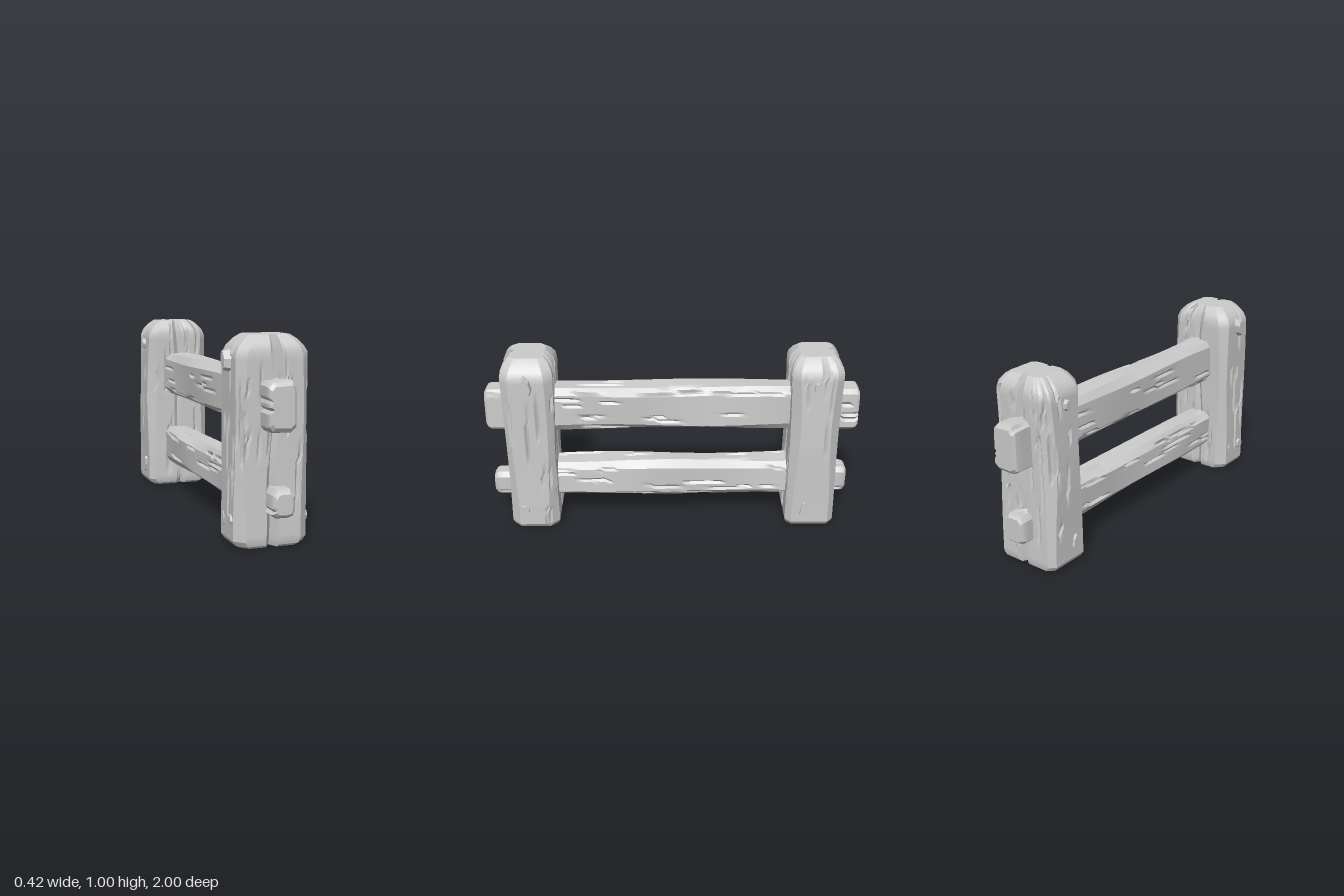
import * as THREE from 'three';
import { toCreasedNormals } from 'three/addons/utils/BufferGeometryUtils.js';

const wood = new THREE.MeshStandardMaterial({ color: 0xcccccc });
const pegWood = new THREE.MeshStandardMaterial({ color: 0xcccccc, flatShading: true });

function seeded(seed) {
  return () => {
    seed = (seed * 16807) % 2147483647;
    return seed / 2147483647;
  };
}

// Hewn timber along +y: section(y) gives the corner loop, profile rows are
// [y, scaleX, scaleZ], and cracks are narrow grooves running with the grain.
function timber(name, section, profile, crackCount, seed, step = 0.012) {
  const rnd = seeded(seed);
  const base = section(0.5);
  const counts = base.map(([x, z], i) => {
    const [x2, z2] = base[(i + 1) % base.length];
    return Math.max(1, Math.round(Math.hypot(x2 - x, z2 - z) / step));
  });
  const ringSize = counts.reduce((a, b) => a + b, 0);
  const y0 = profile[0][0], y1 = profile[profile.length - 1][0];

  const cracks = Array.from({ length: crackCount }, () => {
    const length = 0.08 + 0.22 * rnd();
    return {
      index: rnd() * ringSize, start: y0 + rnd() * (y1 - y0 - length * 0.5), length,
      drift: (rnd() - 0.5) * 2.5, depth: 0.007 + 0.008 * rnd(),
    };
  });

  const levels = [profile[0]];
  for (let k = 1; k < profile.length; k++) {
    const a = profile[k - 1], b = profile[k];
    const n = Math.max(1, Math.ceil((b[0] - a[0]) / 0.025));
    for (let s = 1; s <= n; s++) levels.push(a.map((v, m) => v + (b[m] - v) * s / n));
  }

  const pos = [], index = [];
  for (const [y, sx, sz] of levels) {
    const loop = section(y);
    const carve = new Map();
    for (const c of cracks) {
      const t = (y - c.start) / c.length;
      if (t <= 0 || t >= 1) continue;
      const i = (Math.round(c.index + c.drift * t) + ringSize) % ringSize;
      carve.set(i, c.depth * Math.min(1, 4 * t * (1 - t) + 0.2));
    }
    let i = 0;
    loop.forEach(([x, z], e) => {
      const [x2, z2] = loop[(e + 1) % loop.length];
      const len = Math.hypot(x2 - x, z2 - z);
      for (let s = 0; s < counts[e]; s++, i++) {
        const f = s / counts[e], d = carve.get(i) || 0;
        pos.push((x + (x2 - x) * f - d * (z2 - z) / len) * sx, y,
          (z + (z2 - z) * f + d * (x2 - x) / len) * sz);
      }
    });
  }
  for (let j = 0; j < levels.length - 1; j++) {
    for (let i = 0; i < ringSize; i++) {
      const a = j * ringSize + i, b = j * ringSize + (i + 1) % ringSize;
      index.push(a, a + ringSize, b, b, a + ringSize, b + ringSize);
    }
  }
  // End caps
  const bottom = pos.length / 3, last = (levels.length - 1) * ringSize;
  pos.push(0, y0, 0, 0, y1, 0);
  for (let i = 0; i < ringSize; i++) {
    const n = (i + 1) % ringSize;
    index.push(bottom, i, n, bottom + 1, last + n, last + i);
  }
  const geo = new THREE.BufferGeometry();
  geo.setAttribute('position', new THREE.Float32BufferAttribute(pos, 3));
  geo.setIndex(index);
  const mesh = new THREE.Mesh(toCreasedNormals(geo, 0.45), wood);
  mesh.name = name;
  return mesh;
}

// Post section: chamfered rectangle, split by a groove on both broad faces
function postSection(phase) {
  return (y) => {
    const w = 0.183 + 0.003 * Math.sin(y * 7 + phase), d = 0.132 + 0.004 * Math.sin(y * 5 + phase * 2);
    const c = 0.04 + 0.008 * Math.sin(y * 6 + phase), g = 0.02 + 0.014 * Math.abs(2 * y - 1);
    const m = 0.022 * (y - 0.5) + 0.008 * Math.sin(y * 9 + phase);
    const outer = 0.028 + 0.03 * (2 * y - 1) ** 2, inner = 0.018 + 0.02 * (2 * y - 1) ** 2;
    return [
      [w, -d + c], [w, d - c], [w - c, d], [m + g, d], [m, d - outer], [m - g, d], [-w + c, d],
      [-w, d - c], [-w, -d + c], [-w + c, -d], [m - g, -d], [m, -d + inner], [m + g, -d], [w - c, -d],
    ];
  };
}

// Rail section: chamfered rectangle whose corners wander along the length
function railSection(w, h, c, phase, wobble) {
  const corners = [[w, -h + c], [w, h - c], [w - c, h], [-w + c, h], [-w, h - c], [-w, -h + c], [-w + c, -h], [w - c, -h]];
  return (y) => corners.map(([x, z], i) => [
    x + wobble * Math.sin(y * 6 + i * 2.1 + phase),
    z + wobble * Math.sin(y * 5 + i * 1.7 + phase * 2),
  ]);
}

function peg(y, z, ry, rz, reach, tilt) {
  const g = new THREE.CylinderGeometry(0.75, 1, 0.06, 7);
  g.rotateZ(-Math.PI / 2);
  g.scale(1, ry, rz);
  g.rotateX(tilt);
  const mesh = new THREE.Mesh(g, pegWood);
  mesh.position.set(reach - 0.03, y, z);
  mesh.name = 'peg';
  return mesh;
}

export function createModel() {
  const model = new THREE.Group();
  model.name = 'fence';

  // Posts with rounded tops
  const postProfile = [
    [0, 0.8, 0.83], [0.012, 0.92, 0.93], [0.035, 1, 0.98], [0.5, 1, 1], [0.91, 0.96, 1.02],
    [0.945, 0.88, 0.97], [0.98, 0.7, 0.81], [1, 0.54, 0.66],
  ];
  const posts = [['frontPost', 0.758, 0, 1.3], ['backPost', -0.758, Math.PI, 4.1]];
  posts.forEach(([name, z, turn, phase], i) => {
    const post = timber(name, postSection(phase), postProfile, 46, 91 + i * 700);
    post.position.z = z;
    post.rotation.y = turn;
    model.add(post);
  });

  // Rails between the posts
  const rails = [['upperRail', 0.685, 0.084, 0.121, 0.5], ['lowerRail', 0.253, 0.082, 0.105, 2.6]];
  rails.forEach(([name, y, w, h, phase], i) => {
    const rail = timber(name, railSection(w, h, 0.035, phase, 0.005),
      [[-0.72, 1, 1], [0.72, 1, 1]], 44, 1234 + i * 555);
    rail.rotation.x = Math.PI / 2;
    rail.position.y = y;
    model.add(rail);
  });

  // Rail ends poking out through the posts: name, x, y, half width, half height, tip, tip scale, side
  const ends = [
    ['upperFrontEnd', -0.002, 0.68, 0.07, 0.118, 1, 0.8, 1],
    ['upperBackEnd', 0, 0.67, 0.07, 0.121, 1, 0.84, -1],
    ['lowerFrontEnd', 0.018, 0.225, 0.058, 0.068, 0.985, 0.7, 1],
    ['lowerBackEnd', 0, 0.23, 0.06, 0.075, 0.965, 0.8, -1],
  ];
  ends.forEach(([name, x, y, w, h, tip, s, side], i) => {
    const end = timber(name, railSection(w, h, 0.022, i * 1.9, 0.003),
      [[0.78, 1, 1], [tip - 0.03, 1, 1], [tip - 0.012, (1 + s) / 2 + 0.04, (1 + s) / 2 + 0.05], [tip, s, s]],
      4, 77 + i * 31, 0.016);
    end.rotation.x = side * Math.PI / 2;
    end.position.set(x, y, 0);
    model.add(end);
  });

  // Pegs on both sides of the posts: y, z, half height, half depth, reach in x, tilt
  const pegs = [
    [0.88, 0.757, 0.062, 0.034, 0.21, 0.25], [0.13, 0.81, 0.036, 0.033, 0.196, 0],
    [0.12, 0.71, 0.045, 0.02, 0.19, 0.1], [0.86, -0.752, 0.036, 0.026, 0.194, 0],
    [0.12, -0.72, 0.06, 0.022, 0.193, -0.15],
  ];
  for (const side of [1, -1]) {
    const group = new THREE.Group();
    group.name = side > 0 ? 'leftPegs' : 'rightPegs';
    pegs.forEach((p) => {
      const mesh = peg(...p);
      if (side < 0) {
        mesh.rotation.z = Math.PI;
        mesh.position.x *= -1;
      }
      group.add(mesh);
    });
    model.add(group);
  }
  return model;
}
